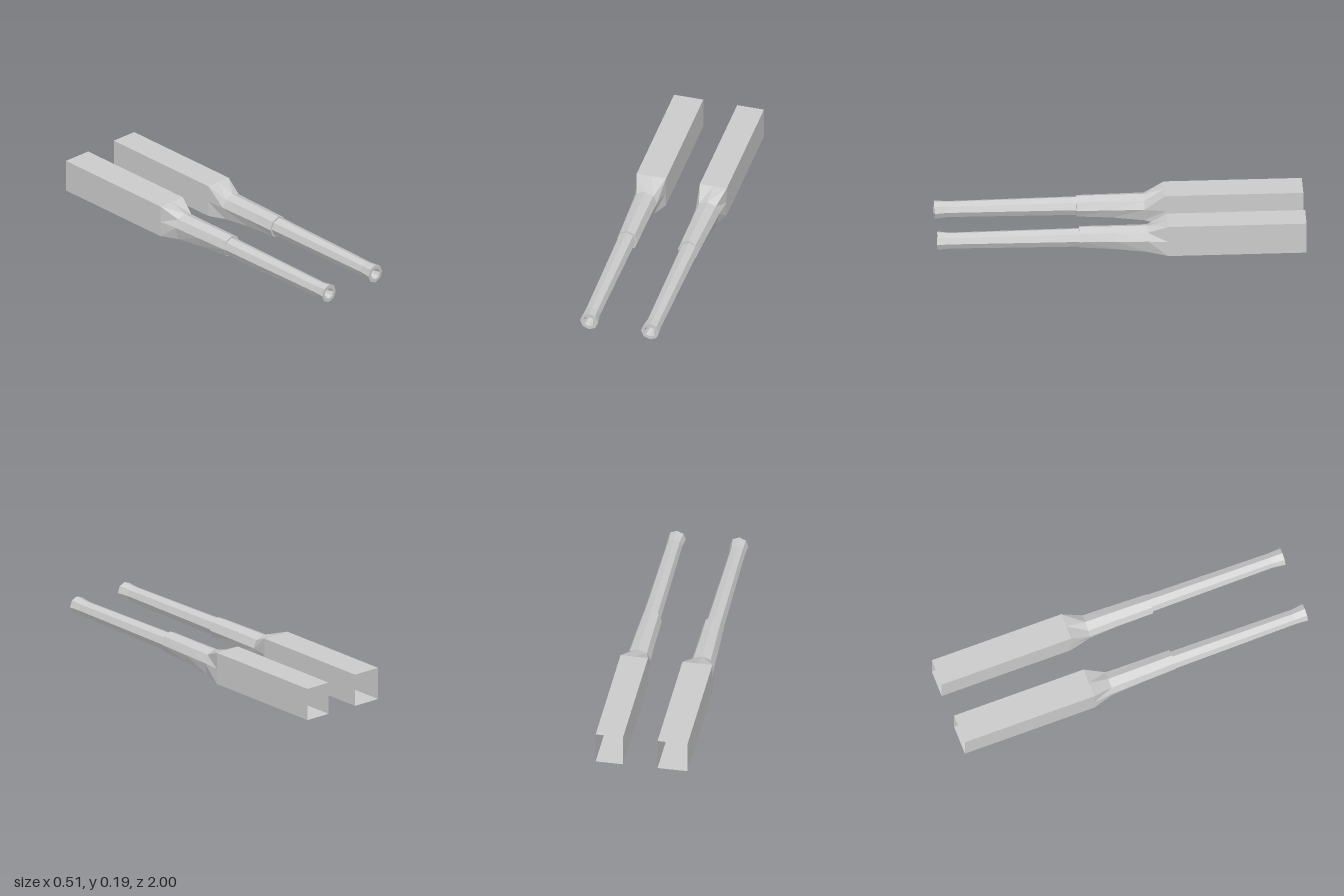
import * as THREE from 'three';

const AXIS_Y = 0.097;
const material = new THREE.MeshStandardMaterial({
  color: 0xcccccc, flatShading: true, side: THREE.DoubleSide,
});

// Eight-sided section: k = 0.71 gives an octagon, k = 1 a rectangle.
function ring(z, inner, outer, top, bottom, kTop = 0.71, kBottom = kTop) {
  const cx = (inner + outer) / 2, w = (outer - inner) / 2;
  const up = top - AXIS_Y, down = bottom - AXIS_Y;
  return [
    [w, 0], [w * kTop, up * kTop], [0, up], [-w * kTop, up * kTop],
    [-w, 0], [-w * kBottom, down * kBottom], [0, down], [w * kBottom, down * kBottom],
  ].map(([x, y]) => [cx + x, AXIS_Y + y, z]);
}

// Skin a list of sections running from front to back; side mirrors in x.
function loft(name, rings, side) {
  const pos = [];
  for (let r = 0; r < rings.length - 1; r++) {
    for (let i = 0; i < 8; i++) {
      const j = (i + 1) % 8;
      const a = rings[r][i], b = rings[r][j], c = rings[r + 1][j], d = rings[r + 1][i];
      const quad = side > 0 ? [a, d, b, b, d, c] : [a, b, d, b, c, d];
      for (const [x, y, z] of quad) pos.push(x * side, y, z);
    }
  }
  const geometry = new THREE.BufferGeometry();
  geometry.setAttribute('position', new THREE.Float32BufferAttribute(pos, 3));
  geometry.computeVertexNormals();
  const mesh = new THREE.Mesh(geometry, material);
  mesh.name = name;
  return mesh;
}

function createArm(side, boxInner) {
  const arm = new THREE.Group();
  arm.name = side > 0 ? 'leftBarrelAssembly' : 'rightBarrelAssembly';

  const muzzle = ring(1, 0.121, 0.222, 0.149, 0.045);
  const barrelEnd = ring(0.23, 0.124, 0.227, 0.15, 0.045);
  const boxFront = ring(-0.25, boxInner, 0.253, 0.19, 0.01, 1);

  // conical bore and flat muzzle face
  arm.add(loft('bore', [
    ring(0.88, 0.172, 0.172, AXIS_Y, AXIS_Y),
    ring(1, 0.139, 0.205, 0.128, 0.065),
  ], side));
  arm.add(loft('muzzleFace', [ring(1, 0.139, 0.205, 0.128, 0.065), muzzle], side));

  // barrel with flared muzzle
  arm.add(loft('barrel', [
    muzzle,
    ring(0.93, 0.13, 0.218, 0.142, 0.051),
    barrelEnd,
  ], side));

  // stepped sleeve blending into the square housing
  arm.add(loft('sleeve', [
    barrelEnd,
    ring(0.23, 0.113, 0.23, 0.16, 0.038),
    ring(0.03, 0.112, 0.237, 0.16, 0.02),
    ring(-0.14, 0.108, 0.243, 0.16, 0.001, 0.71, 0.76),
    boxFront,
  ], side));

  // square housing, open at the back
  arm.add(loft('housing', [boxFront, ring(-1, boxInner, 0.253, 0.19, 0.01, 1)], side));
  return arm;
}

export function createModel() {
  const model = new THREE.Group();
  model.name = 'twinBarrels';
  model.add(createArm(1, 0.102), createArm(-1, 0.088));
  return model;
}
